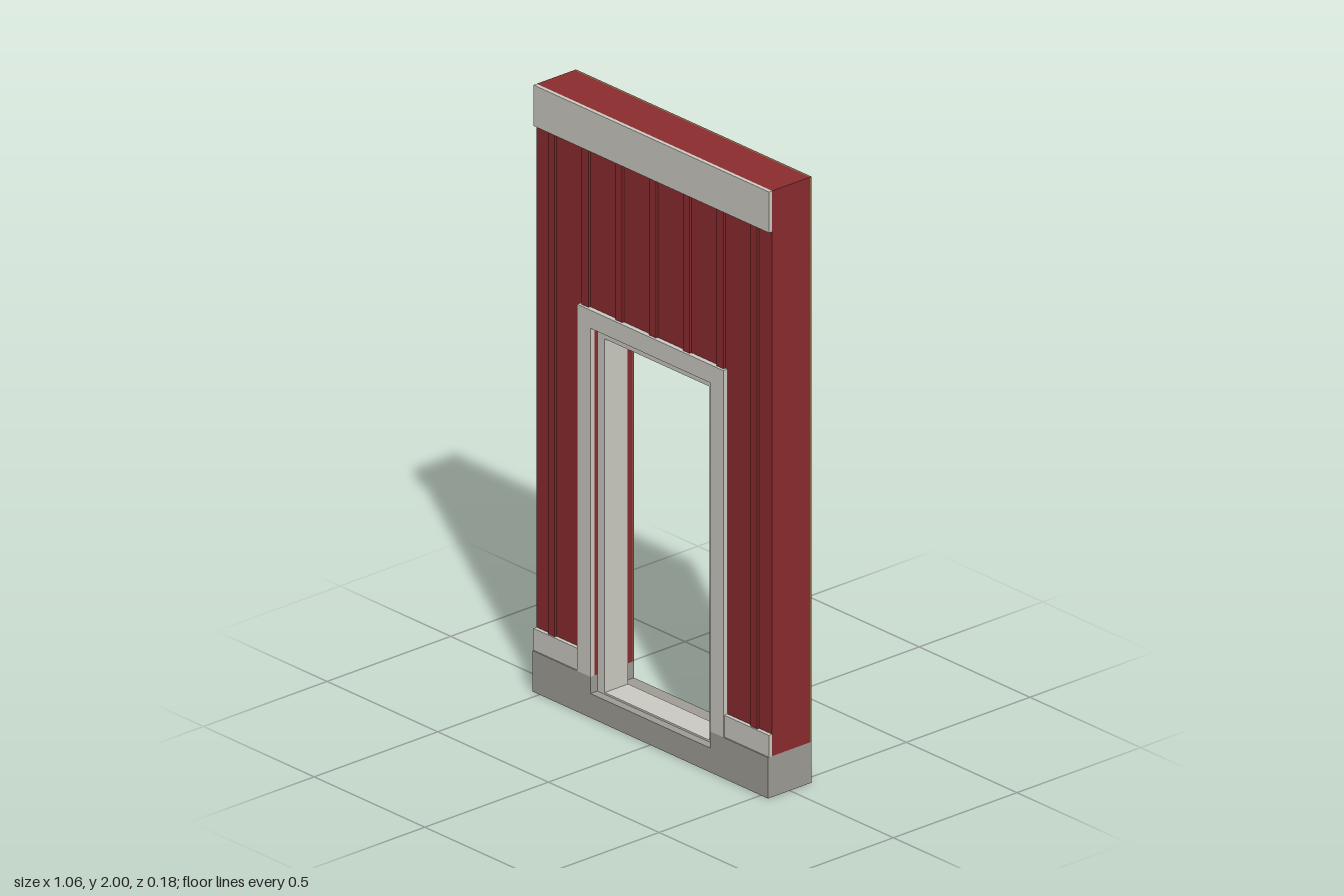
import * as THREE from 'three';

const paint = (name, color) => {
  const m = new THREE.MeshStandardMaterial({ color });
  m.name = name;
  return m;
};

export function createModel() {
  const red = paint('red siding', 0x8b2c2e);
  const white = paint('off-white trim', 0xcdccc4);
  const grey = paint('grey foundation', 0xa09e96);
  const brown = paint('brown lining', 0x87694b);

  const model = new THREE.Group();
  model.name = 'doorwayWall';

  const W = 0.532, BACK = -0.088, FRONT = 0.088;
  const LINING = -0.081, SIDING = 0.071, BAND = 0.084;
  const BASE = 0.135, TOP = 2, SILL = 0.08;
  const DOOR_X = 0.27, DOOR_TOP = 1.285;

  function box(name, mat, x0, x1, y0, y1, z0, z1) {
    const mesh = new THREE.Mesh(new THREE.BoxGeometry(x1 - x0, y1 - y0, z1 - z0), mat);
    mesh.position.set((x0 + x1) / 2, (y0 + y1) / 2, (z0 + z1) / 2);
    mesh.name = name;
    model.add(mesh);
  }

  // Outline extruded between two depths
  function slab(name, mat, points, z0, z1) {
    const shape = new THREE.Shape(points.map(([x, y]) => new THREE.Vector2(x, y)));
    const geo = new THREE.ExtrudeGeometry(shape, { depth: z1 - z0, bevelEnabled: false });
    const mesh = new THREE.Mesh(geo, mat);
    mesh.position.z = z0;
    mesh.name = name;
    model.add(mesh);
  }

  // Upside-down U around the doorway
  const arch = (xo, yo, xi, yi, y0) => [
    [-xo, y0], [-xi, y0], [-xi, yi], [xi, yi], [xi, y0], [xo, y0], [xo, yo], [-xo, yo],
  ];

  // Wall layers
  const wall = arch(W, TOP, DOOR_X, DOOR_TOP, BASE);
  slab('wallCore', red, wall, LINING, SIDING);
  slab('innerLining', brown, wall, BACK, LINING);

  // Foundation with a notch for the doorway
  slab('foundation', grey, [
    [-W, 0], [W, 0], [W, BASE], [DOOR_X, BASE], [DOOR_X, SILL],
    [-DOOR_X, SILL], [-DOOR_X, BASE], [-W, BASE],
  ], BACK, FRONT);

  // Door casing, recessed frame and threshold
  slab('doorCasing', white, arch(0.33, 1.345, DOOR_X, DOOR_TOP, BASE), SIDING, FRONT);
  slab('doorFrame', white, arch(DOOR_X, DOOR_TOP, 0.237, 1.253, SILL), -0.035, 0.06);
  box('threshold', white, -0.237, 0.237, SILL, 0.086, -0.035, 0.06);

  // Top band and skirting boards
  box('topBand', white, -W, W, 1.865, TOP, SIDING, BAND);
  box('skirtingRight', white, -W, -0.33, BASE, 0.207, SIDING, BAND);
  box('skirtingLeft', white, 0.33, W, BASE, 0.207, SIDING, BAND);

  // Vertical battens; the inner ones stop at the casing
  for (let i = -3; i <= 3; i++) {
    const x = i * 0.1525;
    box('batten', red, x - 0.015, x + 0.015, Math.abs(i) === 3 ? 0.207 : 1.345, 1.865, SIDING, 0.079);
  }

  return model;
}
